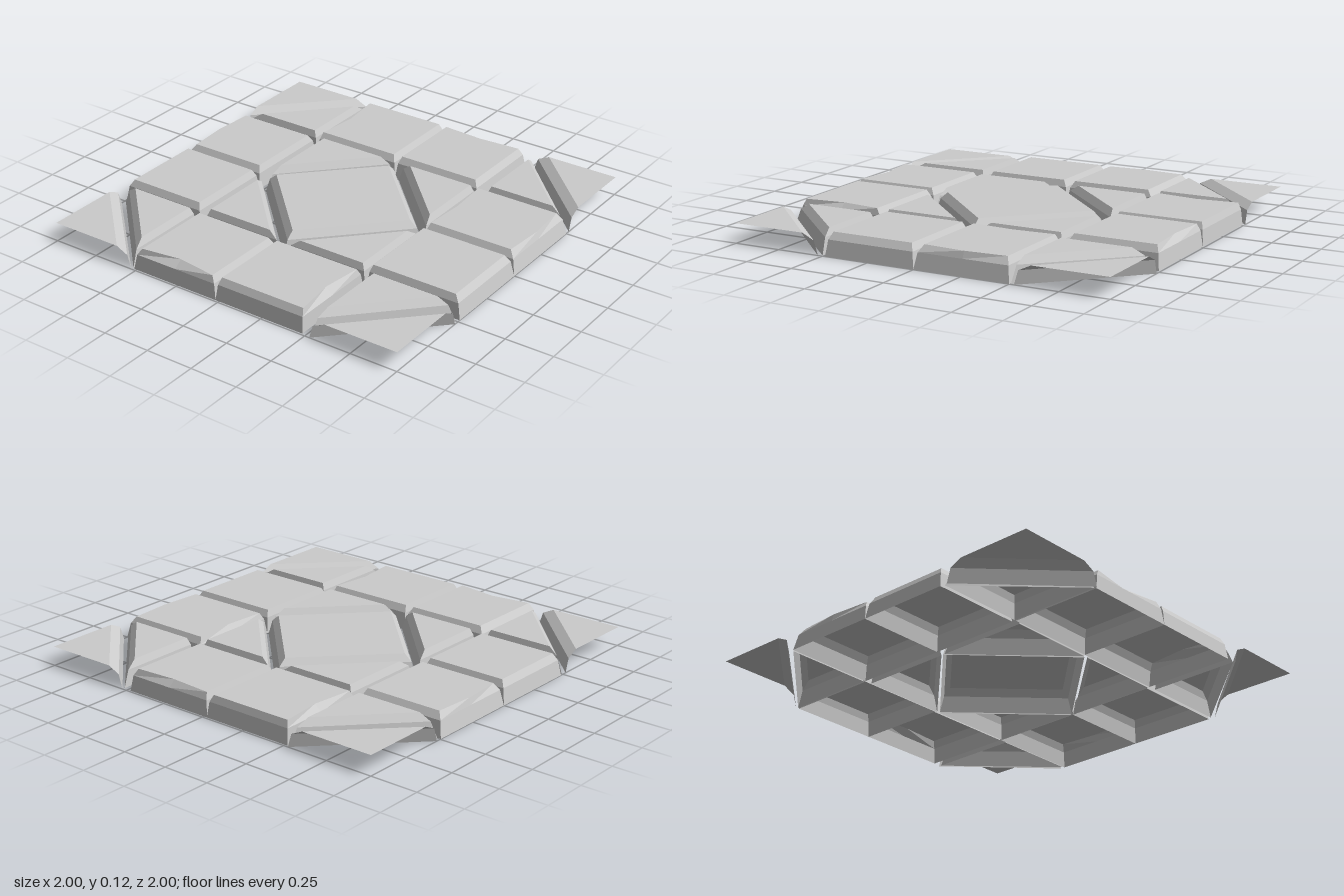
import * as THREE from 'three';

const material = new THREE.MeshStandardMaterial({ color: 0xcccccc, flatShading: true, side: THREE.DoubleSide });

// Moves every edge of an outline inwards by its inset times k, and adds the
// (possibly kinked) middle of each edge. Points are {x, z, inset, kink}.
function ring(pts, k, y, kinkScale) {
  const n = pts.length;
  const normal = (i) => {
    const a = pts[i], b = pts[(i + 1) % n];
    const l = Math.hypot(b.x - a.x, b.z - a.z);
    return [(b.z - a.z) / l, -(b.x - a.x) / l];
  };
  const corners = pts.map((p, i) => {
    const j = (i + n - 1) % n;
    const [ax, az] = normal(j), [bx, bz] = normal(i);
    const wa = pts[j].inset * k, wb = p.inset * k;
    const det = ax * bz - az * bx;
    return [p.x + (wa * bz - wb * az) / det, p.z + (ax * wb - bx * wa) / det];
  });
  return corners.flatMap((c, i) => {
    const d = corners[(i + 1) % n], [nx, nz] = normal(i), s = pts[i].kink * kinkScale;
    return [[c[0], y, c[1]], [(c[0] + d[0]) / 2 + nx * s, y, (c[1] + d[1]) / 2 + nz * s]];
  });
}

// Stone with steep walls, a bevelled rim and a flat top, open underneath.
// Outline rows are [x, z, inset of the edge to the next point, kink];
// an edge with inset 0 gets no wall.
function stone(name, outline, mid = 0.08, top = 0.115, midInset = 0.4) {
  let pts = outline.map(([x, z, inset, kink = 0]) => ({ x, z, inset, kink }));
  const n = pts.length;
  const area = pts.reduce((s, p, i) => {
    const q = pts[(i + 1) % n];
    return s + p.z * q.x - p.x * q.z;
  }, 0);
  if (area < 0) {
    pts = pts.map((_, i) => {
      const p = pts[n - 1 - i], e = pts[(2 * n - 2 - i) % n];
      return { x: p.x, z: p.z, inset: e.inset, kink: e.kink };
    });
  }
  const rings = [ring(pts, 0, 0, 0), ring(pts, midInset, mid, 0), ring(pts, 1, top, 1)];
  const m = 2 * n, v = [];
  for (let i = 0; i < m; i++) {
    const j = (i + 1) % m;
    if (pts[i >> 1].inset === 0) continue;
    for (let r = 0; r < 2; r++) {
      const a = rings[r][i], b = rings[r][j], c = rings[r + 1][j], d = rings[r + 1][i];
      v.push(...a, ...b, ...c, ...a, ...c, ...d);
    }
  }
  const rim = rings[2];
  const centre = [0, 1, 2].map((k) => rim.reduce((s, p) => s + p[k], 0) / m);
  for (let i = 0; i < m; i++) v.push(...centre, ...rim[i], ...rim[(i + 1) % m]);
  const g = new THREE.BufferGeometry();
  g.setAttribute('position', new THREE.Float32BufferAttribute(v, 3));
  g.computeVertexNormals();
  const mesh = new THREE.Mesh(g, material);
  mesh.name = name;
  return mesh;
}

// Rectangular stone; insets and kinks run back, right, front, left
function square(name, x0, x1, z0, z1, w, k = [0, 0, 0, 0]) {
  return stone(name, [[x0, z0, w[0], k[0]], [x1, z0, w[1], k[1]], [x1, z1, w[2], k[2]], [x0, z1, w[3], k[3]]]);
}

export function createModel() {
  const group = new THREE.Group();
  group.name = 'pavingTile';

  // Two square stones along each side
  group.add(
    square('backSquareRight', -0.485, 0, -1, -0.52, [0.035, 0.03, 0.025, 0.03]),
    square('backSquareLeft', 0, 0.495, -1, -0.52, [0.04, 0.04, 0.025, 0.035], [-0.015, 0, 0, 0]),
    square('frontSquareRight', -0.485, 0, 0.485, 1, [0.02, 0.03, 0.04, 0.025]),
    square('frontSquareLeft', 0, 0.5, 0.485, 1, [0.02, 0.03, 0.045, 0.035], [0.015, 0, -0.015, 0]),
    square('rightSquareBack', -0.99, -0.505, -0.515, -0.02, [0.04, 0.035, 0.03, 0.02], [0, 0, 0, 0.03]),
    square('rightSquareFront', -0.99, -0.505, -0.02, 0.48, [0.02, 0.035, 0.015, 0.03], [0, 0, 0.025, 0]),
    square('leftSquareBack', 0.5, 0.99, -0.515, -0.02, [0.015, 0.02, 0.03, 0.035], [0.025, 0, 0, 0]),
    square('leftSquareFront', 0.505, 0.99, -0.02, 0.48, [0.02, 0.025, 0.035, 0.035], [0, 0.015, 0, 0]),
  );

  for (const sx of [-1, 1]) {
    for (const sz of [-1, 1]) {
      const where = (sz > 0 ? 'Front' : 'Back') + (sx > 0 ? 'Left' : 'Right');
      // Outer corner: flat, walled only along the diagonal
      group.add(stone('outerCorner' + where, [
        [sx, sz, 0], [sx, sz * 0.525, 0.06], [sx * 0.525, sz, 0],
      ], 0.07, 0.1, 0.25));
      // Triangle facing the outer corner
      group.add(stone('cornerTriangle' + where, [
        [sx * 0.505, sz * 0.525, 0.025], [sx * 0.985, sz * 0.525, 0.05], [sx * 0.505, sz * 0.99, 0.02],
      ]));
      // Triangle beside the central diamond
      group.add(stone('innerTriangle' + where, [
        [sx * 0.495, sz * 0.48, 0.025], [sx * 0.01, sz * 0.48, 0.045], [sx * 0.495, sz * 0.01, 0.02],
      ]));
    }
  }

  // Central diamond
  group.add(stone('centreDiamond', [
    [0, -0.48, 0.05], [0.485, 0, 0.05], [0, 0.475, 0.05], [-0.485, 0, 0.05],
  ]));
  return group;
}
